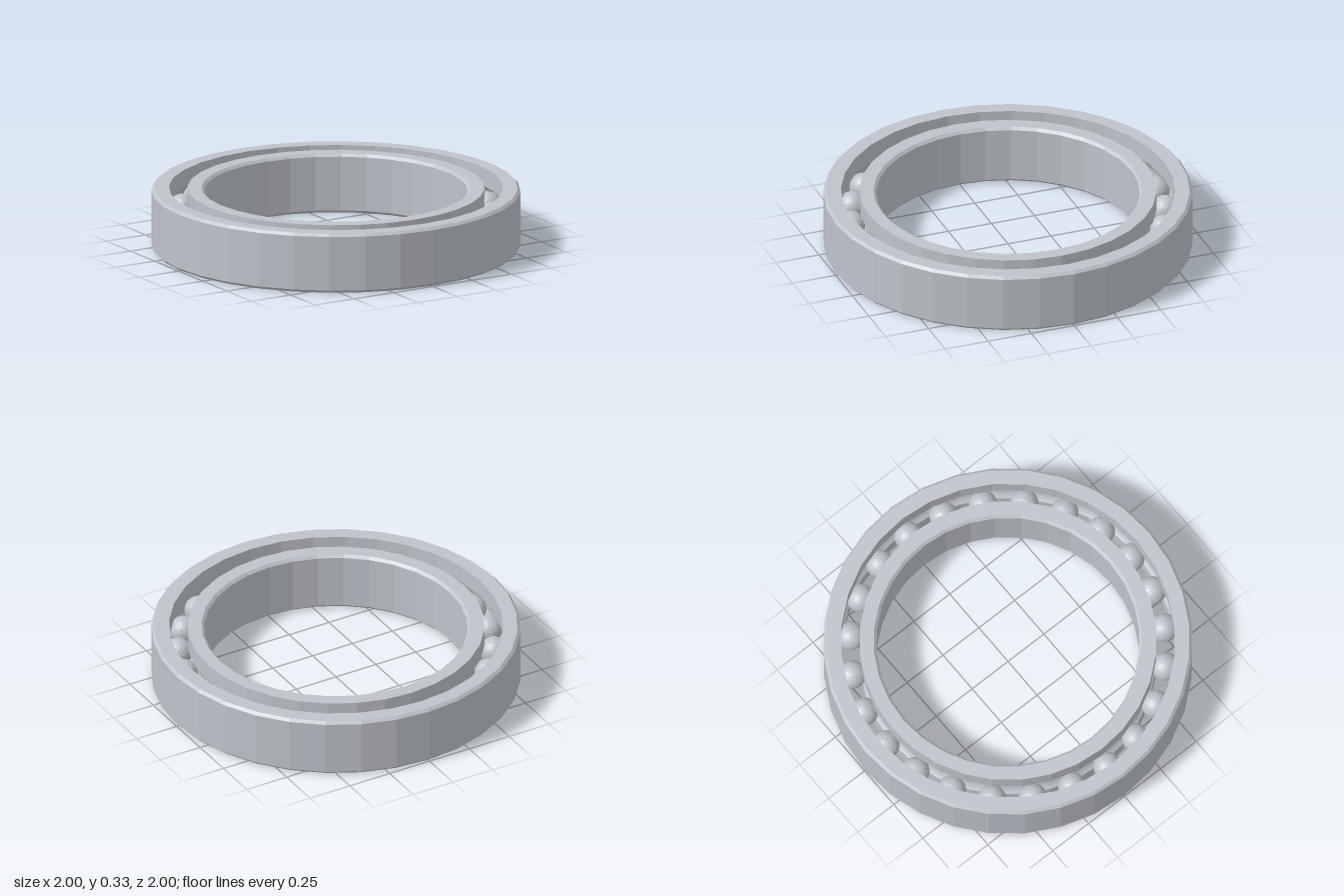
import * as THREE from 'three';

const HEIGHT = 0.33, MID = HEIGHT / 2;
const PITCH = 0.855;      // radius of the ball circle
const HALF_GAP = 0.05;    // from ball circle to each ring wall
const BALL = 0.078, GROOVE = 0.081;
const CHAMFER = 0.015;
const SIDES = 32, BALLS = 24;

export function createModel() {
  const steel = new THREE.MeshStandardMaterial({ color: 0xbfc3ca, flatShading: true });
  steel.name = 'steel';
  const model = new THREE.Group();
  model.name = 'ballBearing';

  const add = (name, geometry, parent = model) => {
    const mesh = new THREE.Mesh(geometry, steel);
    mesh.name = name;
    parent.add(mesh);
    return mesh;
  };

  // Rounded raceway cut into a ring wall, swept between two angles
  const raceway = (from, to) => Array.from({ length: 9 }, (_, i) => {
    const a = from + (to - from) * i / 8;
    return [PITCH + GROOVE * Math.cos(a), MID + GROOVE * Math.sin(a)];
  });
  const reach = Math.acos(HALF_GAP / GROOVE);

  // Closed cross-section, counter-clockwise, turned around the axis
  const ring = (name, profile) => add(name, new THREE.LatheGeometry(
    [...profile, profile[0]].map(([r, y]) => new THREE.Vector2(r, y)), SIDES));

  // Outer ring: chamfered rim, raceway on the inside
  const wallOut = PITCH + HALF_GAP;
  ring('outerRing', [
    [wallOut, 0], [1 - CHAMFER, 0], [1, CHAMFER],
    [1, HEIGHT - CHAMFER], [1 - CHAMFER, HEIGHT], [wallOut, HEIGHT],
    ...raceway(reach, -reach),
  ]);

  // Inner ring: chamfered bore, raceway on the outside
  const wallIn = PITCH - HALF_GAP, bore = 0.713;
  ring('innerRing', [
    [bore + CHAMFER, 0], [wallIn, 0],
    ...raceway(Math.PI + reach, Math.PI - reach),
    [wallIn, HEIGHT], [bore + CHAMFER, HEIGHT],
    [bore, HEIGHT - CHAMFER], [bore, CHAMFER],
  ]);

  // Balls spaced evenly in the raceway
  const balls = new THREE.Group();
  balls.name = 'balls';
  model.add(balls);
  const ballGeometry = new THREE.IcosahedronGeometry(BALL, 3);
  for (let i = 0; i < BALLS; i++) {
    const a = i / BALLS * Math.PI * 2;
    const ball = add('ball', ballGeometry, balls);
    ball.position.set(PITCH * Math.sin(a), MID, PITCH * Math.cos(a));
    ball.rotation.y = a;
  }
  return model;
}
